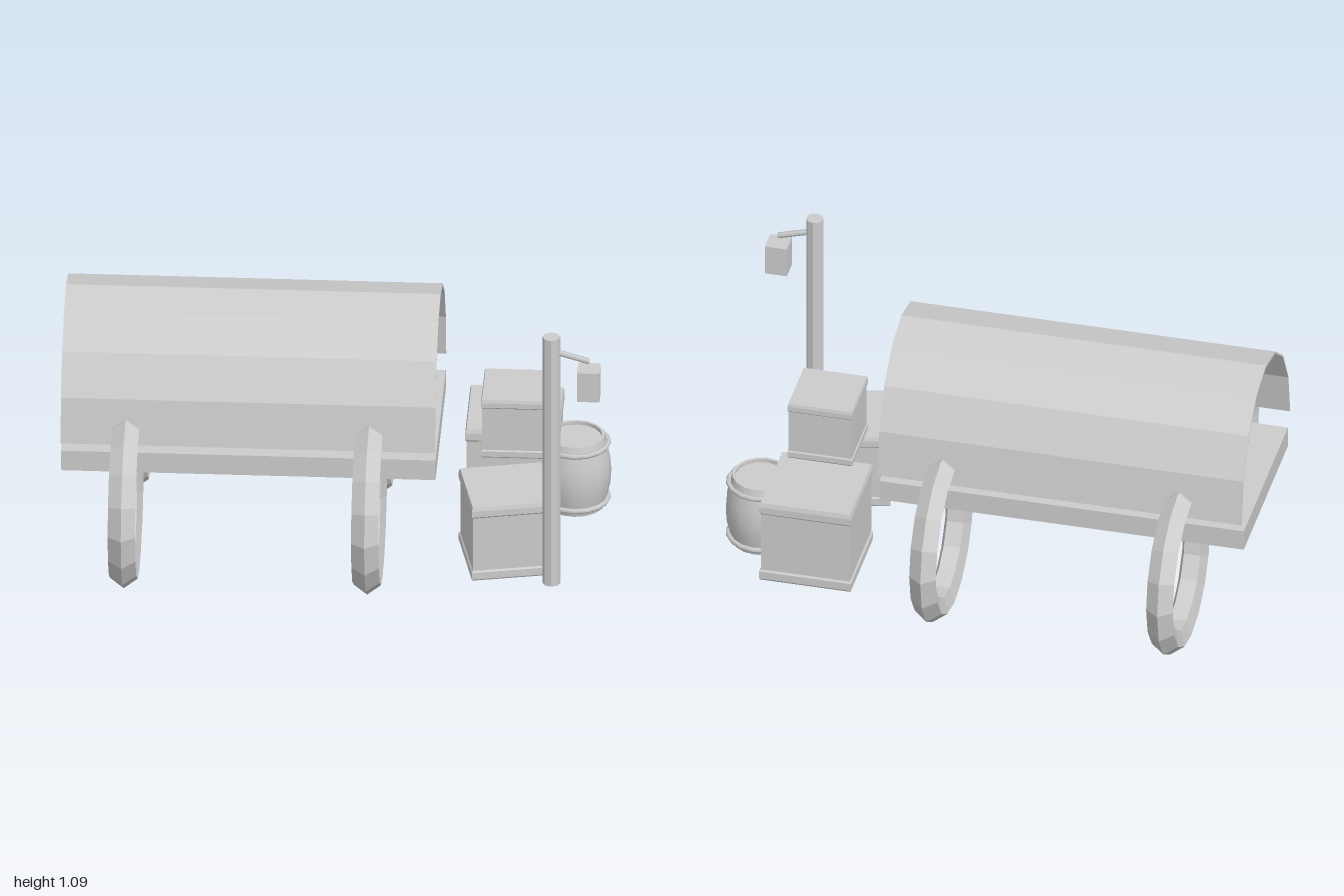
import * as THREE from 'three';
import { toCreasedNormals } from 'three/addons/utils/BufferGeometryUtils.js';

export function createModel() {
  const model = new THREE.Group();
  model.name = 'coveredWagonWithCargo';
  const grey = new THREE.MeshStandardMaterial({ color: 0xcccccc });
  grey.name = 'plain grey';

  function add(name, geometry, x, y, z, parent = model) {
    const mesh = new THREE.Mesh(geometry, grey);
    mesh.name = name;
    mesh.position.set(x, y, z);
    parent.add(mesh);
    return mesh;
  }
  const faceted = (geometry) => toCreasedNormals(geometry, 0.1);

  // Wagon bed
  add('wagonBed', new THREE.BoxGeometry(1.38, 0.082, 0.69), -0.31, 0.471, 0);

  // Arched cover: thin half-ellipse shell, eight flat strips
  const arch = (rx, ry, i) => {
    const a = (i / 8) * Math.PI;
    return new THREE.Vector2(Math.cos(a) * rx, Math.sin(a) * ry);
  };
  const shell = [];
  for (let i = 0; i <= 8; i++) shell.push(arch(0.38, 0.46, i));
  for (let i = 8; i >= 0; i--) shell.push(arch(0.378, 0.449, i));
  const cover = new THREE.ExtrudeGeometry(new THREE.Shape(shell), { depth: 1.38, bevelEnabled: false });
  cover.rotateY(Math.PI / 2);
  add('canvasCover', faceted(cover), -1, 0.562, 0);

  // Four hoop wheels with a five-sided section
  const wheel = faceted(new THREE.TorusGeometry(0.277, 0.053, 5, 16).rotateY(Math.PI / 2));
  for (const x of [-0.76, 0.137]) {
    for (const side of [1, -1]) add('wheel', wheel, x, 0.335, 0.38 * side);
  }

  // Crates: square profile with raised bands near top and bottom
  const crateProfile = [
    [0, 0], [0.488, 0], [0.5, 0.02], [0.5, 0.11], [0.483, 0.13],
    [0.483, 0.85], [0.5, 0.87], [0.5, 0.95], [0.486, 1], [0, 1],
  ].map(([r, y]) => new THREE.Vector2(r * Math.SQRT2, y));
  const crate = faceted(new THREE.LatheGeometry(crateProfile, 4, Math.PI / 4));
  function addCrate(name, size, height, x, y, z, turn = 0) {
    const mesh = add(name, crate, x, y, z);
    mesh.scale.set(size, height, size);
    mesh.rotation.y = turn;
  }
  addCrate('frontCrate', 0.312, 0.306, 0.639, 0.061, 0.254, 0.21);
  addCrate('backCrate', 0.348, 0.343, 0.639, 0.061, -0.264);
  addCrate('topCrate', 0.246, 0.241, 0.658, 0.404, -0.005);

  // Barrel with a shallow recessed lid and two hoops
  const barrel = new THREE.Group();
  barrel.name = 'barrel';
  barrel.position.set(0.868, 0.061, -0.177);
  model.add(barrel);
  const staves = [
    [0, 0], [0.107, 0], [0.116, 0.04], [0.128, 0.09], [0.132, 0.145],
    [0.128, 0.2], [0.116, 0.25], [0.107, 0.29], [0.097, 0.29], [0.097, 0.275], [0, 0.275],
  ].map(([r, y]) => new THREE.Vector2(r, y));
  add('barrelBody', toCreasedNormals(new THREE.LatheGeometry(staves, 16), 0.6), 0, 0, 0, barrel);
  const hoop = new THREE.TorusGeometry(0.121, 0.01, 6, 16).rotateX(Math.PI / 2);
  for (const y of [0.03, 0.259]) add('barrelHoop', hoop, 0, y, 0, barrel);

  // Lamp post, sloping bracket and hanging lantern
  add('lampPost', faceted(new THREE.CylinderGeometry(0.033, 0.033, 1.033, 8)), 0.812, 0.5775, 0.432);
  const bracket = add('lampBracket', new THREE.CylinderGeometry(0.011, 0.011, 0.148, 6), 0.881, 1.016, 0.432);
  bracket.rotation.z = Math.PI / 2 - 0.29;
  add('lantern', new THREE.BoxGeometry(0.083, 0.12, 0.083), 0.95, 0.906, 0.432);

  return model;
}
